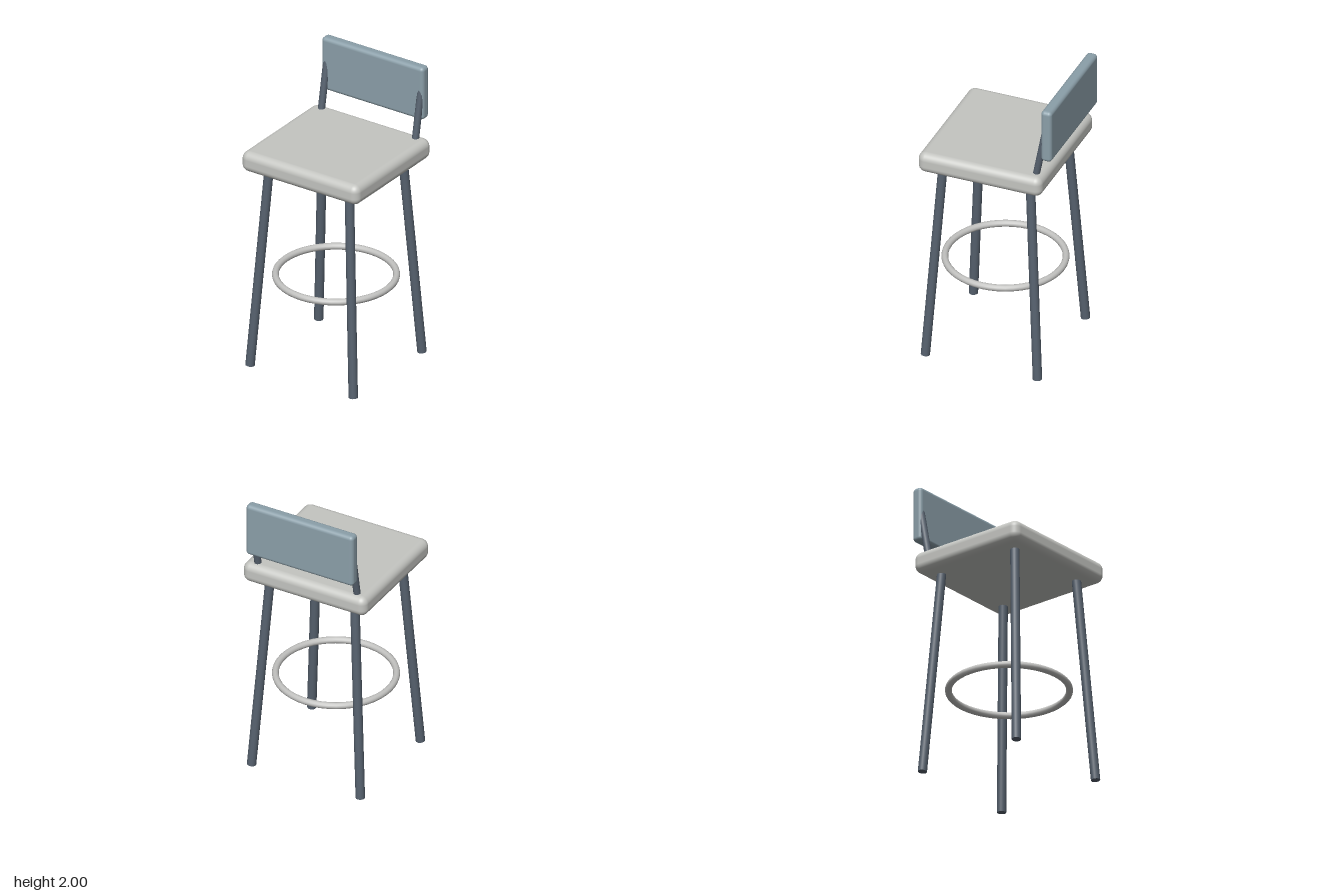
import * as THREE from 'three';
import { RoundedBoxGeometry } from 'three/addons/geometries/RoundedBoxGeometry.js';

const seatPad = new THREE.MeshStandardMaterial({ name: 'palePad', color: 0xc4c5c1 });
const backPad = new THREE.MeshStandardMaterial({ name: 'blueGreyPad', color: 0x8b9fa9 });
const frame = new THREE.MeshStandardMaterial({ name: 'darkSteel', color: 0x57626f });
const ringMetal = new THREE.MeshStandardMaterial({ name: 'lightMetal', color: 0xc2c2c0 });

const CENTRE_Z = 0.025; // middle of seat, legs and ring

// Straight round bar between two points
function bar(name, from, to, radius) {
  const a = new THREE.Vector3(...from);
  const b = new THREE.Vector3(...to);
  const dir = b.clone().sub(a);
  const mesh = new THREE.Mesh(new THREE.CylinderGeometry(radius, radius, dir.length(), 12), frame);
  mesh.quaternion.setFromUnitVectors(new THREE.Vector3(0, 1, 0), dir.normalize());
  mesh.position.copy(a.add(b).multiplyScalar(0.5));
  mesh.name = name;
  return mesh;
}

// Cushion with rounded edges
function pad(name, size, position, radius, material) {
  const mesh = new THREE.Mesh(new RoundedBoxGeometry(...size, 5, radius), material);
  mesh.position.set(...position);
  mesh.name = name;
  return mesh;
}

export function createModel() {
  const stool = new THREE.Group();
  stool.name = 'barStool';

  stool.add(pad('seat', [0.896, 0.14, 0.845], [0, 1.45, CENTRE_Z], 0.05, seatPad));
  stool.add(pad('backrest', [0.78, 0.37, 0.073], [0, 1.815, -0.4115], 0.025, backPad));

  for (const sx of [1, -1]) {
    const side = sx > 0 ? 'left' : 'right';
    // Splayed legs
    for (const sz of [1, -1]) {
      stool.add(bar(`${side}${sz > 0 ? 'Front' : 'Back'}Leg`,
        [sx * 0.395, 0.003, CENTRE_Z + sz * 0.383],
        [sx * 0.305, 1.42, CENTRE_Z + sz * 0.296], 0.03));
    }
    // Leaning posts that run into the backrest
    stool.add(bar(`${side}BackPost`, [sx * 0.36, 1.46, -0.327], [sx * 0.36, 1.86, -0.402], 0.023));
  }

  // Foot ring
  const ring = new THREE.Mesh(new THREE.TorusGeometry(0.383, 0.022, 12, 48), ringMetal);
  ring.rotation.x = Math.PI / 2;
  ring.position.set(0, 0.6, CENTRE_Z);
  ring.name = 'footRing';
  stool.add(ring);

  return stool;
}
